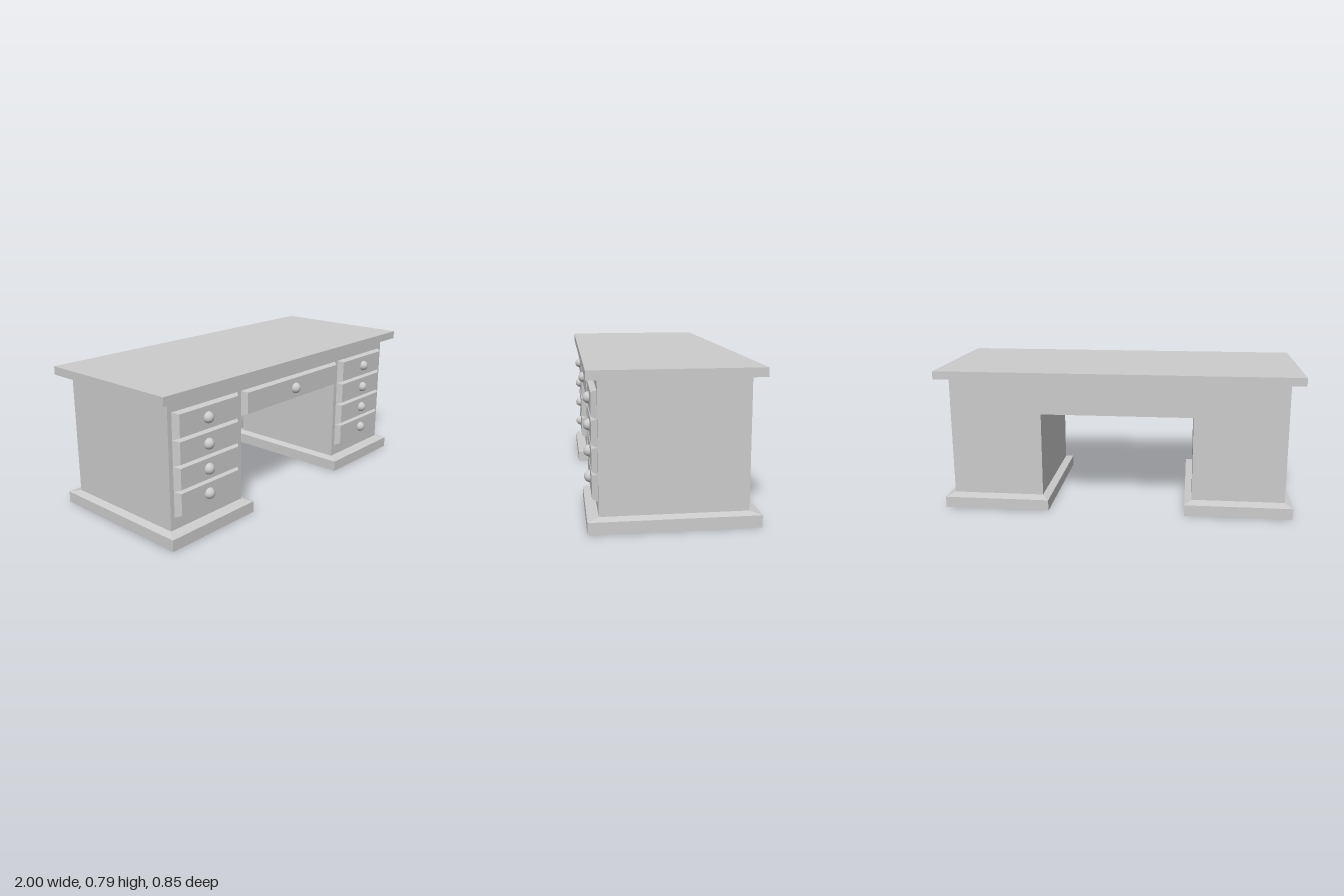
import * as THREE from 'three';

const material = new THREE.MeshStandardMaterial({ color: 0xcccccc, flatShading: true });
const smooth = new THREE.MeshStandardMaterial({ color: 0xcccccc });

function add(parent, name, geometry, x = 0, y = 0, z = 0, mat = material) {
  const mesh = new THREE.Mesh(geometry, mat);
  mesh.name = name;
  mesh.position.set(x, y, z);
  parent.add(mesh);
  return mesh;
}

// Box whose +z face is drawn in by insetX and insetY on each side
function taperedBox(w, h, d, insetX, insetY) {
  const geometry = new THREE.BoxGeometry(w, h, d);
  const p = geometry.attributes.position;
  for (let i = 0; i < p.count; i++) {
    if (p.getZ(i) > 0) {
      p.setX(i, p.getX(i) - Math.sign(p.getX(i)) * insetX);
      p.setY(i, p.getY(i) - Math.sign(p.getY(i)) * insetY);
    }
  }
  geometry.computeVertexNormals();
  return geometry;
}

const FRONT = 0.367;   // front plane of the carcass
const DEPTH = 0.028;   // how far a drawer front stands out

// Bevelled drawer front with a round knob
function addDrawer(parent, name, x0, x1, y0, y1, knobX) {
  const drawer = new THREE.Group();
  drawer.name = name;
  const y = (y0 + y1) / 2;
  add(drawer, 'drawerFront', taperedBox(x1 - x0, y1 - y0, DEPTH, 0.024, 0.01),
    (x0 + x1) / 2, y, FRONT + DEPTH / 2);
  add(drawer, 'knob', new THREE.SphereGeometry(0.03, 24, 16), knobX, y, FRONT + DEPTH + 0.001, smooth);
  parent.add(drawer);
}

export function createModel() {
  const desk = new THREE.Group();
  desk.name = 'desk';

  // Table top
  add(desk, 'tableTop', new THREE.BoxGeometry(2, 0.045, 0.845), 0, 0.7625, 0);

  // Carcass: two pedestals joined over the knee hole
  const outline = new THREE.Shape([
    [-0.93, 0.07], [-0.42, 0.07], [-0.42, 0.544], [0.42, 0.544],
    [0.42, 0.07], [0.93, 0.07], [0.93, 0.74], [-0.93, 0.74],
  ].map(([x, y]) => new THREE.Vector2(x, y)));
  add(desk, 'carcass', new THREE.ExtrudeGeometry(outline, { depth: FRONT * 2, bevelEnabled: false }), 0, 0, -FRONT);

  // Plinths, each with a sloped top edge
  for (const side of [-1, 1]) {
    const plinth = new THREE.Group();
    plinth.name = side > 0 ? 'leftPlinth' : 'rightPlinth';
    plinth.position.x = side * 0.675;
    add(plinth, 'plinthBase', new THREE.BoxGeometry(0.59, 0.062, 0.845), 0, 0.031, 0);
    const slope = taperedBox(0.59, 0.845, 0.013, 0.04, 0.0555).rotateX(-Math.PI / 2);
    add(plinth, 'plinthSlope', slope, 0, 0.0685, 0);
    desk.add(plinth);
  }

  // Four drawers in each pedestal
  const edges = [0.14, 0.275, 0.406, 0.541, 0.679];
  for (const side of [-1, 1]) {
    const x0 = side > 0 ? 0.449 : -0.904;
    for (let i = 0; i < 4; i++) {
      addDrawer(desk, side > 0 ? 'leftDrawer' : 'rightDrawer', x0, x0 + 0.455, edges[i], edges[i + 1], side * 0.69);
    }
  }

  // Wide drawer over the knee hole
  addDrawer(desk, 'centerDrawer', -0.42, 0.42, 0.544, 0.679, 0);

  return desk;
}
